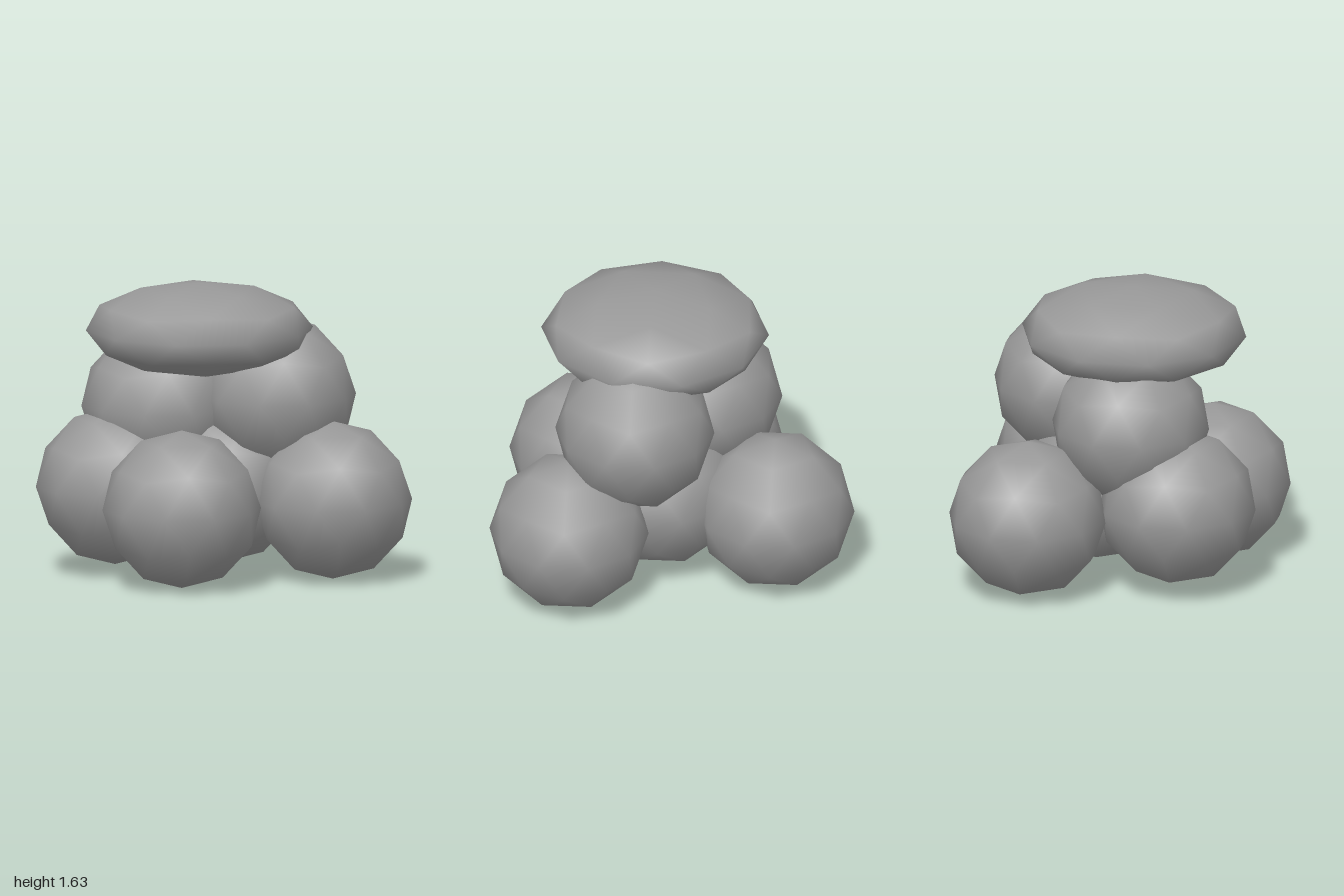
import * as THREE from 'three';

export function createModel() {
  const group = new THREE.Group();
  group.name = 'boulderPile';

  const stone = new THREE.MeshStandardMaterial({ color: 0x999999 });
  stone.name = 'stone grey';

  // 80-sided ball with smooth normals, tipped so one corner points straight up
  const ball = new THREE.IcosahedronGeometry(1, 1);
  ball.rotateZ(-Math.atan(2 / (1 + Math.sqrt(5))));

  const addStone = (name, x, y, z, rx = 0.44, ry = rx, rz = rx) => {
    const mesh = new THREE.Mesh(ball, stone);
    mesh.name = name;
    mesh.position.set(x, y, z);
    mesh.scale.set(rx, ry, rz);
    group.add(mesh);
  };

  // Bottom layer
  addStone('frontLeftBoulder', 0.26, 0.44, 0.435);
  addStone('frontRightBoulder', -0.37, 0.49, 0.36);
  addStone('backLeftBoulder', 0.58, 0.44, -0.4);
  addStone('backRightBoulder', -0.58, 0.44, -0.44);
  addStone('middleBoulder', -0.02, 0.49, -0.12);

  // Second layer
  addStone('upperLeftBoulder', 0.19, 0.99, -0.335);
  addStone('upperRightBoulder', -0.3, 0.92, 0.085);

  // Flattened stone on top
  addStone('capStone', -0.02, 1.375, 0.05, 0.63, 0.255, 0.63);

  return group;
}
